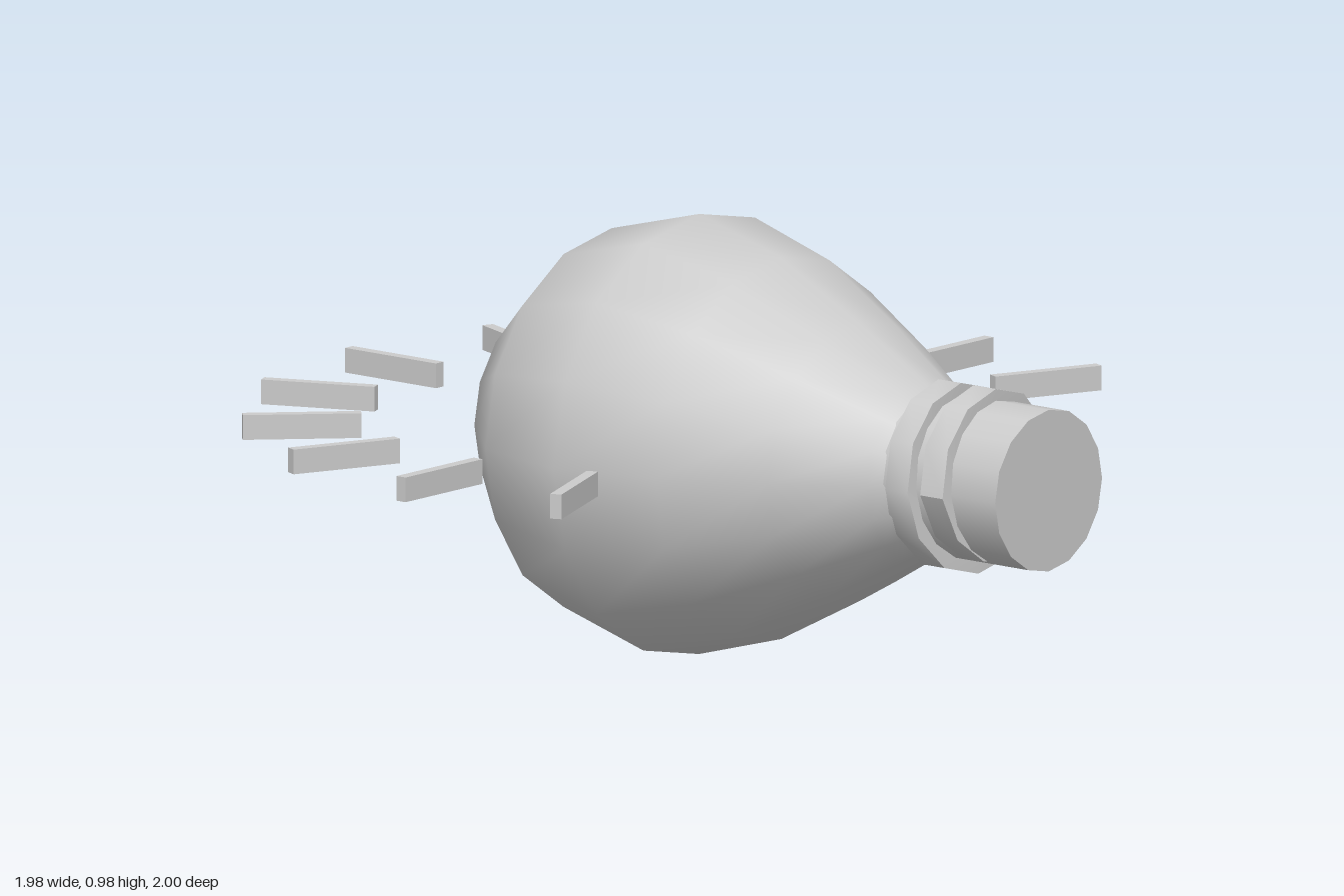
import * as THREE from 'three';
import { toCreasedNormals } from 'three/addons/utils/BufferGeometryUtils.js';

const AXIS_Y = 0.495; // height of the bulb's axis, which runs along z

const material = new THREE.MeshStandardMaterial({ color: 0xcccccc });

function addMesh(parent, name, geometry) {
  const mesh = new THREE.Mesh(geometry, material);
  mesh.name = name;
  parent.add(mesh);
  return mesh;
}

// Lathe turned so that its axis runs along z; profile is [radius, z] from back to front
function latheZ(profile, sides) {
  const points = profile.map(([r, z]) => new THREE.Vector2(r, z));
  return new THREE.LatheGeometry(points, sides).rotateX(Math.PI / 2);
}

// Flat band wound in a helix around z, sinking into the base at both ends
function threadGeometry({ inner, outer, halfWidth, startZ, pitch, turns, sides }) {
  const steps = turns * sides;
  const positions = [];
  const index = [];
  for (let i = 0; i <= steps; i++) {
    const angle = -Math.PI / 2 + (i / sides) * Math.PI * 2;
    const z = startZ + (i / sides) * pitch;
    const fade = Math.min(1, (steps - i) / 3, (i + 2) / 3);
    const r = inner + (outer - inner) * fade;
    for (const [radius, dz] of [[inner, -1], [r, -1], [r, 1], [inner, 1]]) {
      positions.push(radius * Math.cos(angle), radius * Math.sin(angle), z + dz * halfWidth);
    }
  }
  for (let i = 0; i < steps; i++) {
    for (let k = 0; k < 4; k++) {
      const a = i * 4 + k;
      const b = i * 4 + ((k + 1) % 4);
      index.push(a, a + 4, b + 4, a, b + 4, b);
    }
  }
  // Close the two ends
  const e = steps * 4;
  index.push(0, 1, 2, 0, 2, 3, e, e + 2, e + 1, e, e + 3, e + 2);
  const geometry = new THREE.BufferGeometry();
  geometry.setAttribute('position', new THREE.Float32BufferAttribute(positions, 3));
  geometry.setIndex(index);
  return toCreasedNormals(geometry, 0.6);
}

export function createModel() {
  const model = new THREE.Group();
  model.name = 'lightBulb';

  // Glass bulb, rounded at the back and tapering to the neck
  const glass = latheZ([
    [0, -0.5], [0.245, -0.435], [0.425, -0.25], [0.49, 0],
    [0.425, 0.235], [0.31, 0.46], [0.2, 0.65], [0.175, 0.69],
  ], 16);
  addMesh(model, 'glassBulb', glass).position.y = AXIS_Y;

  // Screw base with a flat end
  const base = new THREE.CylinderGeometry(0.18, 0.18, 0.35, 16).rotateX(Math.PI / 2);
  addMesh(model, 'screwBase', base).position.set(0, AXIS_Y + 0.008, 0.825);

  // Screw thread
  const thread = threadGeometry({
    inner: 0.165, outer: 0.209, halfWidth: 0.032,
    startZ: 0.667, pitch: 0.1, turns: 2, sides: 12,
  });
  addMesh(model, 'screwThread', thread).position.y = AXIS_Y + 0.005;

  // Light rays fanned around the bulb
  const rays = new THREE.Group();
  rays.name = 'lightRays';
  rays.position.set(0, 0.527, -0.012);
  const rayGeometry = new THREE.BoxGeometry(0.26, 0.055, 0.026).translate(0.86, 0, 0);
  for (let i = -1; i <= 9; i++) {
    addMesh(rays, 'lightRay', rayGeometry).rotation.y = (i * Math.PI) / 8;
  }
  model.add(rays);

  return model;
}
